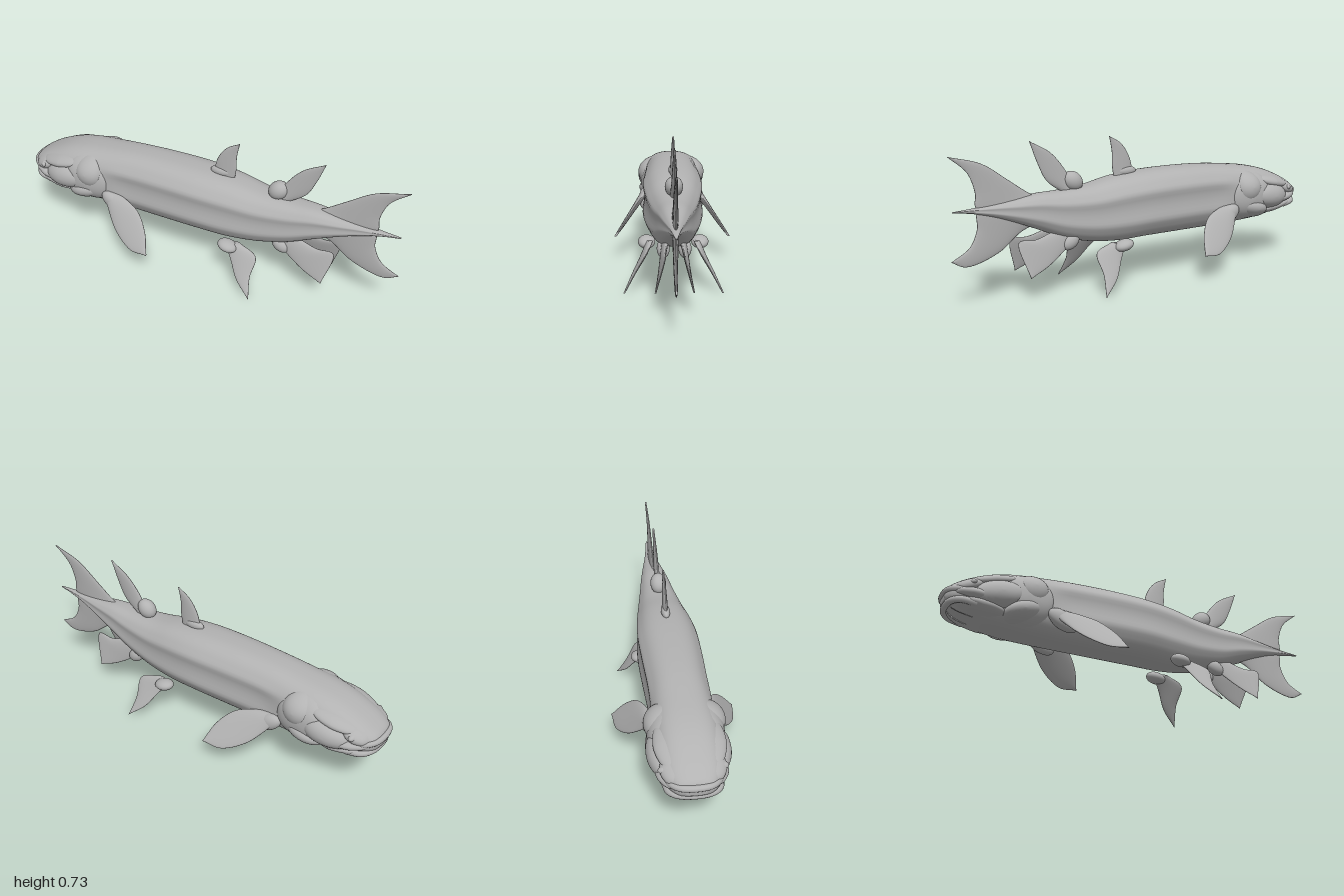
import * as THREE from 'three';

const skin = new THREE.MeshStandardMaterial({ color: 0xb2b2b2 });
skin.name = 'grey skin';

// Closed smooth surface through a list of rings; both ends are pinched shut
function loft(rings) {
  const n = rings[0].length;
  const centre = (r) => r.reduce((c, p) => c.add(p), new THREE.Vector3()).divideScalar(n);
  const a = centre(rings[0]), b = centre(rings[rings.length - 1]);
  const all = [rings[0].map(() => a), ...rings, rings[0].map(() => b)];
  const pts = all.flat(), index = [];
  for (let i = 0; i < all.length - 1; i++) {
    for (let j = 0; j < n; j++) {
      const p = i * n + j, q = i * n + (j + 1) % n;
      if (i > 0) index.push(p, p + n, q);
      if (i < all.length - 2) index.push(q, p + n, q + n);
    }
  }
  // Turn the faces outwards
  let volume = 0;
  const t = new THREE.Vector3();
  for (let k = 0; k < index.length; k += 3) {
    volume += pts[index[k]].dot(t.crossVectors(pts[index[k + 1]], pts[index[k + 2]]));
  }
  if (volume < 0) index.reverse();
  const g = new THREE.BufferGeometry().setFromPoints(pts);
  g.setIndex(index);
  g.computeVertexNormals();
  return g;
}

// Body stations: x, top, bottom, half width
const stations = [
  [-1.0, 0.365, 0.325, 0.045], [-0.985, 0.39, 0.305, 0.08], [-0.95, 0.415, 0.285, 0.11],
  [-0.9, 0.443, 0.265, 0.128], [-0.8, 0.485, 0.238, 0.143], [-0.7, 0.51, 0.225, 0.15],
  [-0.55, 0.53, 0.217, 0.145], [-0.4, 0.544, 0.215, 0.142], [-0.2, 0.55, 0.216, 0.148],
  [0, 0.546, 0.217, 0.15], [0.15, 0.532, 0.215, 0.138], [0.3, 0.505, 0.23, 0.117],
  [0.45, 0.493, 0.268, 0.093], [0.58, 0.49, 0.325, 0.072], [0.7, 0.475, 0.375, 0.05],
  [0.8, 0.464, 0.41, 0.03], [0.9, 0.456, 0.435, 0.015], [0.985, 0.452, 0.447, 0.004],
];
const BOXY = 0.76;
const track = (k) => new THREE.CatmullRomCurve3(
  stations.map((s) => new THREE.Vector3(s[0], s[k], 0)), false, 'centripetal');
const tracks = [1, 2, 3].map(track);
const spow = (v, e) => Math.sign(v) * Math.abs(v) ** e;

function bodyGeometry() {
  const rings = [], steps = 110, sides = 64;
  for (let i = 0; i <= steps; i++) {
    const [top, low, wide] = tracks.map((c) => c.getPoint(i / steps));
    const mid = (top.y + low.y) / 2, h = (top.y - low.y) / 2;
    const x = top.x, ring = [];
    const fade = THREE.MathUtils.smoothstep(x, -0.6, -0.4);
    for (let j = 0; j < sides; j++) {
      const a = (j / sides) * Math.PI * 2;
      const s = Math.sin(a), c = Math.cos(a);
      // Lateral ridges that run to the tail, with a shallow groove between them
      const bump = 0.05 * Math.exp(-(((s - 0.4) / 0.13) ** 2))
        - 0.06 * Math.exp(-(((s - 0.05) / 0.16) ** 2))
        + 0.04 * Math.exp(-(((s + 0.3) / 0.13) ** 2));
      ring.push(new THREE.Vector3(x, mid + h * spow(s, BOXY),
        wide.y * spow(c, BOXY) * (1 + fade * bump)));
    }
    rings.push(ring);
  }
  return loft(rings);
}

// Half width of the head surface at a given x and y
function headZ(x, y) {
  let i = 0;
  while (i < stations.length - 2 && stations[i + 1][0] < x) i++;
  const a = stations[i], b = stations[i + 1];
  const f = THREE.MathUtils.clamp((x - a[0]) / (b[0] - a[0]), 0, 1);
  const [top, low, w] = [1, 2, 3].map((k) => a[k] + (b[k] - a[k]) * f);
  const t = Math.min(0.96, Math.abs((2 * y - top - low) / (top - low)));
  return w * (1 - t ** (2 / BOXY)) ** (BOXY / 2);
}

// Domed bony plate that follows the side of the head
function plateGeometry(x, y, rx, ry, h, tilt, side) {
  const rings = [];
  for (let i = 0; i <= 10; i++) {
    const r = Math.cos((i / 10) * Math.PI * 0.48), ring = [];
    for (let j = 0; j < 36; j++) {
      const a = (j / 36) * Math.PI * 2;
      const u = Math.cos(a) * rx * r, v = Math.sin(a) * ry * r;
      const px = x + u * Math.cos(tilt) - v * Math.sin(tilt);
      const py = y + u * Math.sin(tilt) + v * Math.cos(tilt);
      ring.push(new THREE.Vector3(px, py,
        side * (headZ(px, py) - 0.012 + (h + 0.012) * Math.sqrt(1 - r * r))));
    }
    rings.push(ring);
  }
  return loft(rings);
}

// Tapered fin between a leading and a trailing edge, laid on z = zAt(x, y)
function finGeometry(lead, trail, thick, zAt = () => 0, side = 1) {
  const curve = (p) => new THREE.CatmullRomCurve3(
    p.map(([x, y]) => new THREE.Vector3(x, y, 0)), false, 'centripetal');
  const L = curve(lead), T = curve(trail), rings = [];
  for (let i = 0; i <= 28; i++) {
    const u = i / 28, a = L.getPoint(u), b = T.getPoint(u), ring = [];
    for (let j = 0; j < 28; j++) {
      const ang = (j / 28) * Math.PI * 2;
      const p = a.clone().lerp(b, 0.5 - 0.5 * Math.cos(ang));
      const t = thick * (1 - 0.75 * u) * Math.sin(ang);
      ring.push(new THREE.Vector3(p.x, p.y, side * (zAt(p.x, p.y) + t)));
    }
    rings.push(ring);
  }
  return loft(rings);
}

export function createModel() {
  const fish = new THREE.Group();
  fish.name = 'fish';
  const add = (name, geometry) => {
    const m = new THREE.Mesh(geometry, skin);
    m.name = name;
    fish.add(m);
    return m;
  };
  const lobe = (name, p, r, tilt = 0) => {
    const m = add(name, new THREE.SphereGeometry(1, 28, 18));
    m.position.set(...p);
    m.scale.set(...r);
    m.rotation.z = tilt;
  };

  add('body', bodyGeometry());

  // Tail and back fins
  add('tailUpperLobe', finGeometry(
    [[0.56, 0.47], [0.62, 0.505], [0.72, 0.575], [0.84, 0.655], [1.0, 0.7]],
    [[0.62, 0.41], [0.87, 0.45], [0.876, 0.53], [0.91, 0.62], [1.0, 0.7]], 0.016));
  add('tailLowerLobe', finGeometry(
    [[0.56, 0.35], [0.65, 0.32], [0.77, 0.235], [0.93, 0.192], [1.0, 0.225]],
    [[0.62, 0.45], [0.865, 0.44], [0.872, 0.36], [0.91, 0.28], [1.0, 0.225]], 0.016));
  add('frontDorsalFin', finGeometry(
    [[0.03, 0.51], [0.05, 0.615], [0.1, 0.69], [0.167, 0.73]],
    [[0.14, 0.51], [0.152, 0.58], [0.153, 0.65], [0.167, 0.73]], 0.016));
  add('rearDorsalFin', finGeometry(
    [[0.37, 0.5], [0.41, 0.58], [0.49, 0.675], [0.6, 0.738]],
    [[0.43, 0.48], [0.515, 0.545], [0.56, 0.63], [0.6, 0.738]], 0.018));
  lobe('frontDorsalBase', [0.07, 0.55, 0], [0.055, 0.025, 0.022]);
  lobe('rearDorsalBase', [0.375, 0.53, 0], [0.055, 0.045, 0.042], 0.7);

  // Head plates: x, y, radius x, radius y, height, tilt
  const plates = {
    gillCover: [-0.64, 0.365, 0.13, 0.138, 0.026, 0],
    upperGillPlate: [-0.615, 0.42, 0.075, 0.082, 0.04, 0.2],
    lowerGillPlate: [-0.66, 0.295, 0.095, 0.05, 0.04, 0.35],
    cheekPlate: [-0.77, 0.355, 0.12, 0.07, 0.042, 0.15],
    browPlate: [-0.8, 0.43, 0.12, 0.03, 0.026, 0.2],
    snoutPlate: [-0.91, 0.385, 0.065, 0.034, 0.02, 0.35],
    upperJaw: [-0.87, 0.335, 0.11, 0.026, 0.026, -0.12],
    lowerJaw: [-0.85, 0.285, 0.12, 0.03, 0.026, -0.12],
    eye: [-0.9, 0.39, 0.022, 0.02, 0.028, 0],
  };

  // Lips wrapped around the snout
  for (const [name, y, reach] of [['upperLip', 0.36, -0.988], ['lowerLip', 0.308, -0.976]]) {
    const path = new THREE.CatmullRomCurve3([[-0.87, 0.12], [-0.94, 0.108], [reach, 0.06],
      [reach, -0.06], [-0.94, -0.108], [-0.87, -0.12]]
      .map(([x, z]) => new THREE.Vector3(x, y - (x + 0.98) * 0.15, z)));
    add(name, new THREE.TubeGeometry(path, 40, 0.016, 12));
  }

  // Paired parts
  for (const [side, tag] of [[1, 'left'], [-1, 'right']]) {
    for (const [part, v] of Object.entries(plates)) {
      const name = tag + part[0].toUpperCase() + part.slice(1);
      add(name, plateGeometry(...v, side));
    }

    add(tag + 'PectoralFin', finGeometry(
      [[-0.52, 0.31], [-0.47, 0.245], [-0.41, 0.185], [-0.3, 0.132], [-0.2, 0.138]],
      [[-0.48, 0.34], [-0.38, 0.325], [-0.3, 0.295], [-0.235, 0.225], [-0.2, 0.138]],
      0.024, (x, y) => 0.417 + 0.146 * x - 0.63 * y, side));
    lobe(tag + 'PectoralBase', [-0.465, 0.285, side * 0.145], [0.08, 0.045, 0.035], -0.5);

    add(tag + 'PelvicFin', finGeometry(
      [[0.15, 0.22], [0.2, 0.15], [0.25, 0.075], [0.335, 0.004]],
      [[0.23, 0.23], [0.325, 0.192], [0.318, 0.1], [0.335, 0.004]],
      0.016, (x, y) => 0.237 - 0.55 * y, side));
    lobe(tag + 'PelvicBase', [0.17, 0.213, side * 0.13], [0.052, 0.028, 0.042], -0.2);

    add(tag + 'AnalFin', finGeometry(
      [[0.4, 0.255], [0.47, 0.205], [0.55, 0.155], [0.65, 0.112]],
      [[0.5, 0.31], [0.6, 0.282], [0.688, 0.28], [0.65, 0.112]],
      0.015, (x, y) => 0.113 - 0.25 * y, side));
    lobe(tag + 'AnalBase', [0.42, 0.25, side * 0.05], [0.05, 0.035, 0.03], -0.6);
  }
  return fish;
}
